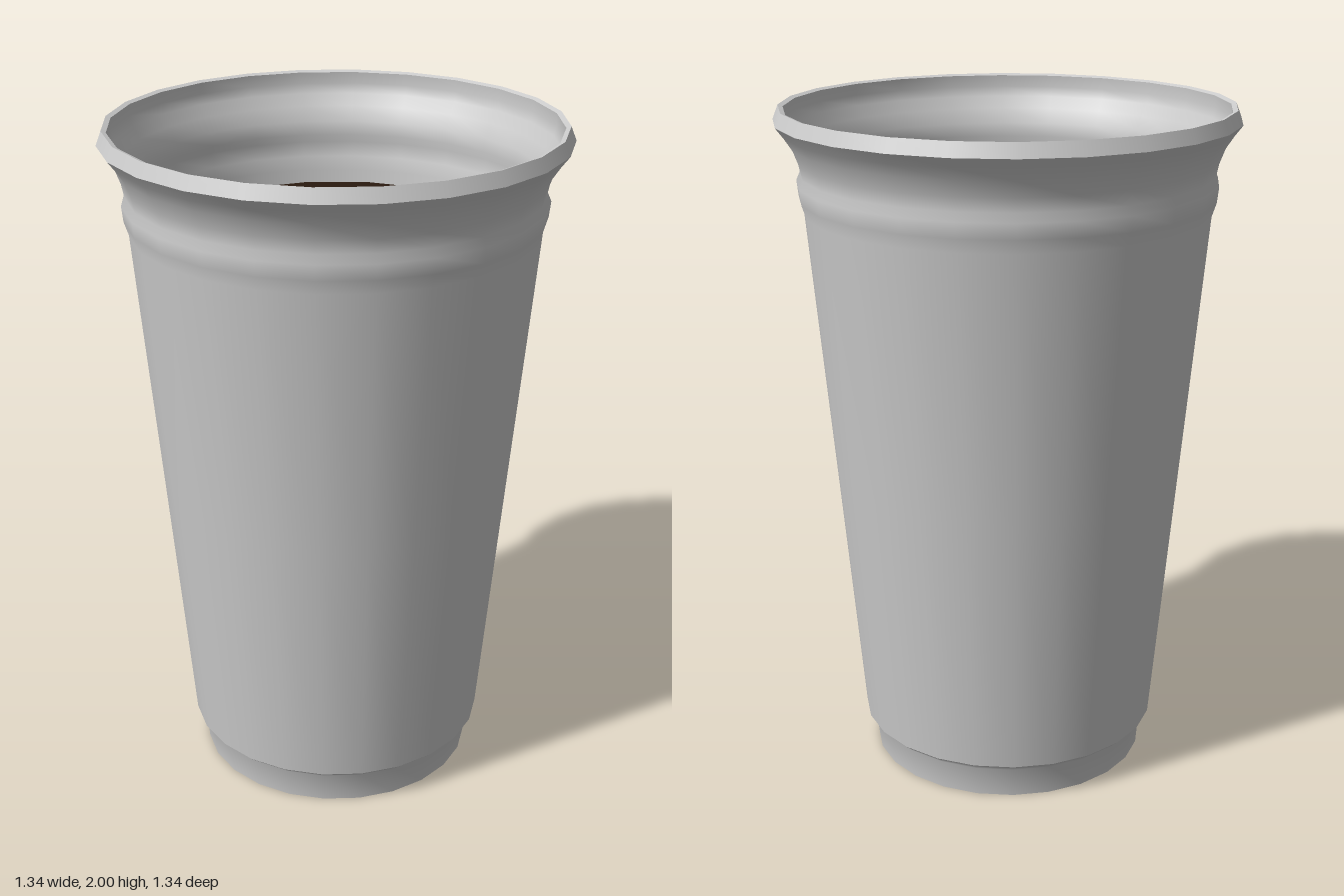
import * as THREE from 'three';

const SIDES = 24;
const WALL = 0.012;

export function createModel() {
  const group = new THREE.Group();
  const grey = new THREE.MeshStandardMaterial({ color: 0xcccccc });
  const dark = new THREE.MeshStandardMaterial({ color: 0x2a1a0f });

  // One smooth band of revolution; separate bands keep the creases sharp
  const band = (name, profile) => {
    const points = profile.map(([r, y]) => new THREE.Vector2(r, y));
    const mesh = new THREE.Mesh(new THREE.LatheGeometry(points, SIDES), grey);
    mesh.name = name;
    group.add(mesh);
  };

  // Tapered side with the stacking bulge and flared neck, bottom to top
  const side = [
    [0.45, 0.115], [0.52, 0.91], [0.59, 1.7], [0.603, 1.74], [0.608, 1.785],
    [0.597, 1.81], [0.605, 1.85], [0.622, 1.895], [0.645, 1.93], [0.668, 1.96],
  ];

  band('base', [[0, 0], [0.415, 0]]);
  band('foot', [[0.415, 0], [0.422, 0.09], [0.45, 0.115]]);
  band('outerWall', side);

  // Rolled rim: sloped outer lip and narrow top edge
  band('rimOuter', [[0.668, 1.96], [0.652, 2]]);
  band('rimTop', [[0.652, 2], [0.638, 1.995]]);

  // Inside surface follows the outer wall, running top to bottom
  const inner = side.slice(0, -1).reverse().map(([r, y]) => [r - WALL, y]);
  band('innerWall', [[0.638, 1.995], [0.64, 1.96], ...inner]);
  band('innerFoot', [[0.45 - WALL, 0.115], [0.41, 0.09], [0.403, WALL]]);
  band('innerFloor', [[0.403, WALL], [0, WALL]]);

  // Drink surface
  const drink = new THREE.Mesh(new THREE.CircleGeometry(0.537, 18), dark);
  drink.name = 'drink';
  drink.rotation.x = -Math.PI / 2;
  drink.position.set(0, 1.67, -0.008);
  group.add(drink);

  return group;
}
